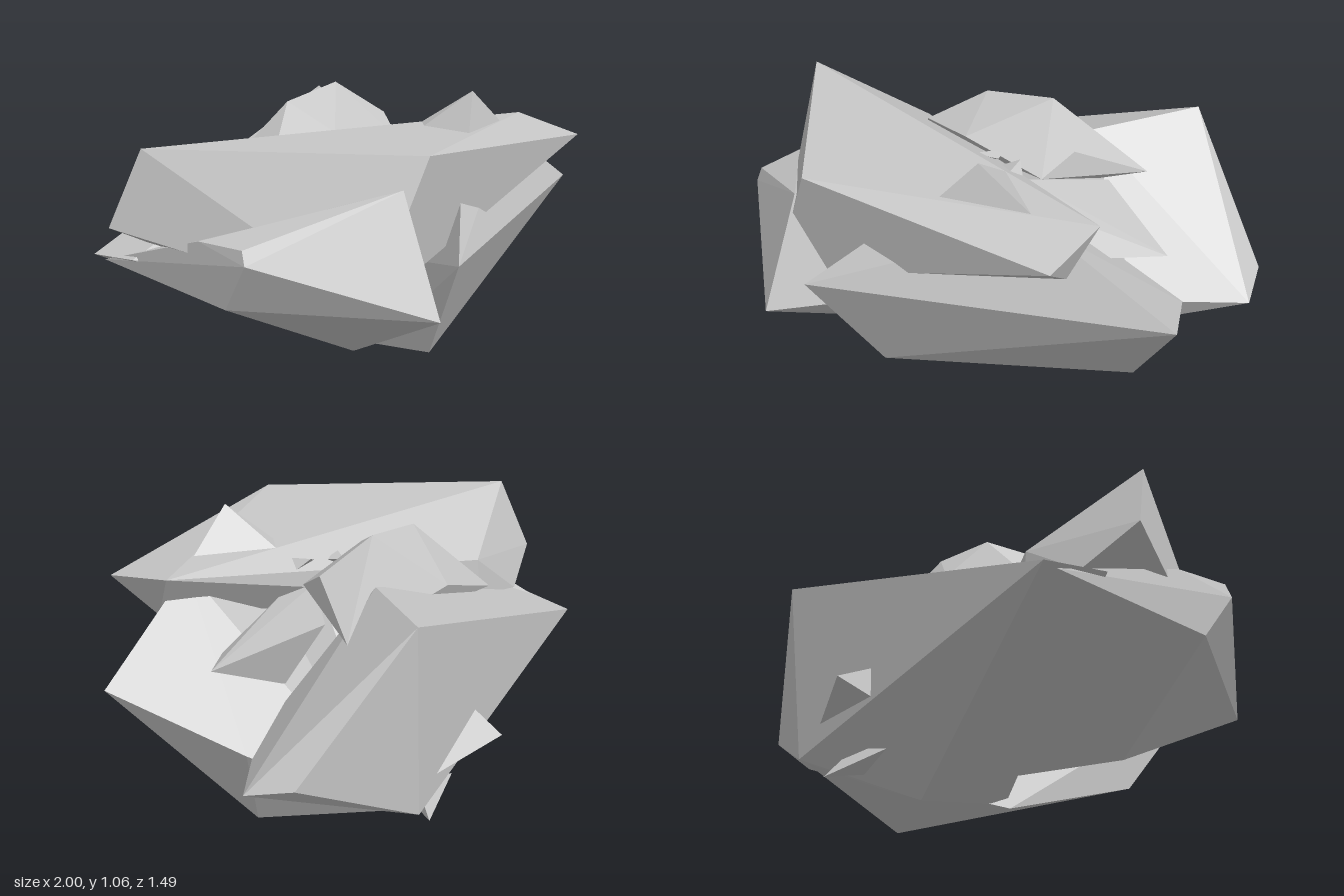
import * as THREE from 'three';
import { ConvexGeometry } from 'three/addons/geometries/ConvexGeometry.js';

// Each shard is the faceted hull of a few corner points [x, y, z].
const shards = {
  backSlab: [
    [0.57, 0.93, -0.67], [0.28, 0.9, -0.33], [0.96, 0.44, -0.45], [1, 0.39, -0.27],
    [0.48, 0.18, -0.64], [0.14, 0, -0.32], [-0.83, 0.49, -0.58], [-0.87, 0.52, -0.33],
    [0.63, 0.39, -0.06], [0, 0.35, 0.05], [0.1, 0.06, 0.05],
  ],
  topPlate: [
    [-0.93, 0.95, -0.2], [-0.38, 0.94, 0.61], [0.65, 0.91, 0.31], [0.62, 0.86, 0.6],
    [0.58, 0.73, 0.41], [-1, 0.67, -0.3], [-0.77, 0.56, -0.36], [-0.47, 0.77, -0.34],
    [-0.48, 0.62, -0.35], [-0.6, 0.44, 0.53],
  ],
  leftShard: [
    [-0.49, 0.41, 0.74], [-0.46, 0.83, 0.56], [-0.9, 0.66, 0.23], [-0.91, 0.61, 0.25],
    [-0.88, 0.43, 0.13], [-0.88, 0.65, 0.01], [-0.34, 0.16, 0.25], [-0.15, 0.4, 0.4],
    [-0.83, 0.48, -0.52], [0.08, 0.05, -0.26],
  ],
  frontShard: [
    [-0.33, 0.56, 0.7], [0.97, 0.6, 0.34], [-0.16, 0.15, 0.46], [0.64, 0.06, -0.06],
    [0.06, 0.03, 0.04], [0.55, 0.21, -0.57], [0.79, 0.4, -0.13], [0, 0.86, 0.48],
    [0.46, 0.88, 0.37],
  ],
  crownShard: [
    [-0.13, 1, -0.24], [0.16, 1.04, -0.24], [-0.5, 0.66, -0.38], [0.51, 0.77, -0.36],
    [0.25, 0.83, 0], [-0.1, 0.9, -0.03], [-0.33, 0.88, -0.12], [0.32, 0.91, -0.12],
    [-0.1, 0.8, -0.41], [0.38, 0.77, -0.22],
  ],
  sideShard: [
    [0.78, 0.68, 0.02], [0.42, 0.78, -0.21], [0.28, 0.77, 0.09], [0.6, 0.66, 0.11],
    [0.5, 0.55, -0.09], [0.18, 0.81, 0],
  ],
  topSpike: [
    [0.21, 1.06, 0.38], [0.1, 0.9, 0.2], [0.19, 0.92, 0.16], [0.44, 0.9, 0.37],
    [0.07, 0.9, 0.46],
  ],
  smallChip: [
    [0.17, 0.9, 0.02], [0.08, 0.86, 0.06], [0.18, 0.88, 0.18], [0.22, 0.84, 0.08],
  ],
  tinyChip: [
    [0.06, 0.88, -0.05], [-0.03, 0.88, 0.04], [0.07, 0.87, 0.01], [0, 0.82, -0.05],
  ],
  backChip: [
    [0.08, 0.35, -0.75], [0.37, 0.28, -0.63], [0.05, 0.42, -0.6], [0.05, 0.29, -0.6],
  ],
  lowerChip: [
    [0.35, 0.08, -0.61], [0.06, 0.12, -0.54], [0.3, 0.2, -0.52], [0.28, 0.1, -0.48],
  ],
};

export function createModel() {
  const stone = new THREE.MeshStandardMaterial({ color: 0xc8c8c8 });
  stone.name = 'stone grey';

  const rock = new THREE.Group();
  rock.name = 'rockCluster';
  for (const [name, corners] of Object.entries(shards)) {
    const points = corners.map((c) => new THREE.Vector3(...c));
    const shard = new THREE.Mesh(new ConvexGeometry(points), stone);
    shard.name = name;
    rock.add(shard);
  }
  return rock;
}
